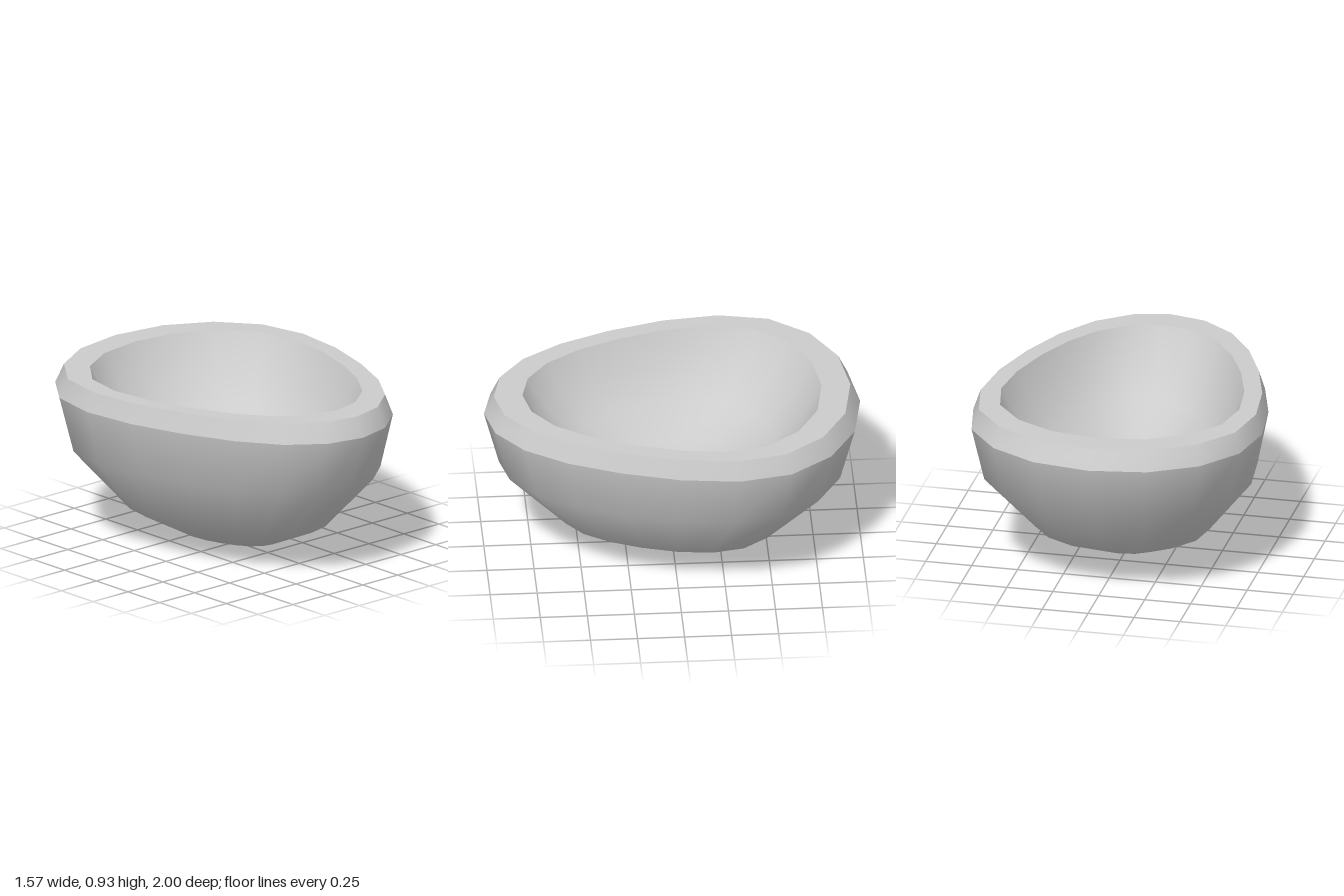
import * as THREE from 'three';

// Half widths of the egg-shaped plan, from the back to the front
const HALF = [0, 0.31, 0.56, 0.73, 0.785, 0.75, 0.66, 0.54, 0.39, 0.205, 0];
const SEGMENTS = 20;

// Parts of the shell as rings: [height, scale in x, scale in z]
const EDGE = [0.82, 1, 1];
const RIM_OUT = [0.925, 0.955, 0.948];
const RIM_IN = [0.925, 0.825, 0.795];
const PARTS = {
  outerBody: [[0, 0, 0], [0.055, 0.285, 0.29], [0.195, 0.6, 0.6], [0.52, 0.92, 0.92], EDGE],
  rimBand: [EDGE, RIM_OUT],
  rimTop: [RIM_OUT, RIM_IN],
  hollow: [RIM_IN, [0.76, 0.73, 0.7], [0.6, 0.56, 0.54], [0.48, 0.31, 0.3], [0.44, 0, 0]],
};

// Point j of the plan, going round from the back over the left side
function planPoint(j) {
  const x = j <= 10 ? HALF[j] : -HALF[SEGMENTS - j];
  return [x, -Math.cos((j / SEGMENTS) * Math.PI * 2)];
}

// Skins a row of rings smoothly; a ring of scale 0 closes to a pole
function skin(rings) {
  const positions = [], index = [];
  rings.forEach(([y, sx, sz]) => {
    for (let j = 0; j < SEGMENTS; j++) {
      const [x, z] = planPoint(j);
      positions.push(x * sx, y, z * sz);
    }
  });
  for (let i = 0; i < rings.length - 1; i++) {
    for (let j = 0; j < SEGMENTS; j++) {
      const a = i * SEGMENTS + j, b = i * SEGMENTS + ((j + 1) % SEGMENTS);
      const c = a + SEGMENTS, d = b + SEGMENTS;
      if (rings[i][1] > 0) index.push(a, c, b);
      if (rings[i + 1][1] > 0) index.push(b, c, d);
    }
  }
  const geometry = new THREE.BufferGeometry();
  geometry.setAttribute('position', new THREE.Float32BufferAttribute(positions, 3));
  geometry.setIndex(index);
  geometry.computeVertexNormals();
  return geometry;
}

export function createModel() {
  const group = new THREE.Group();
  group.name = 'eggShapedBowl';
  const material = new THREE.MeshStandardMaterial({ color: 0xcccccc });
  for (const [name, rings] of Object.entries(PARTS)) {
    const mesh = new THREE.Mesh(skin(rings), material);
    mesh.name = name;
    group.add(mesh);
  }
  return group;
}
